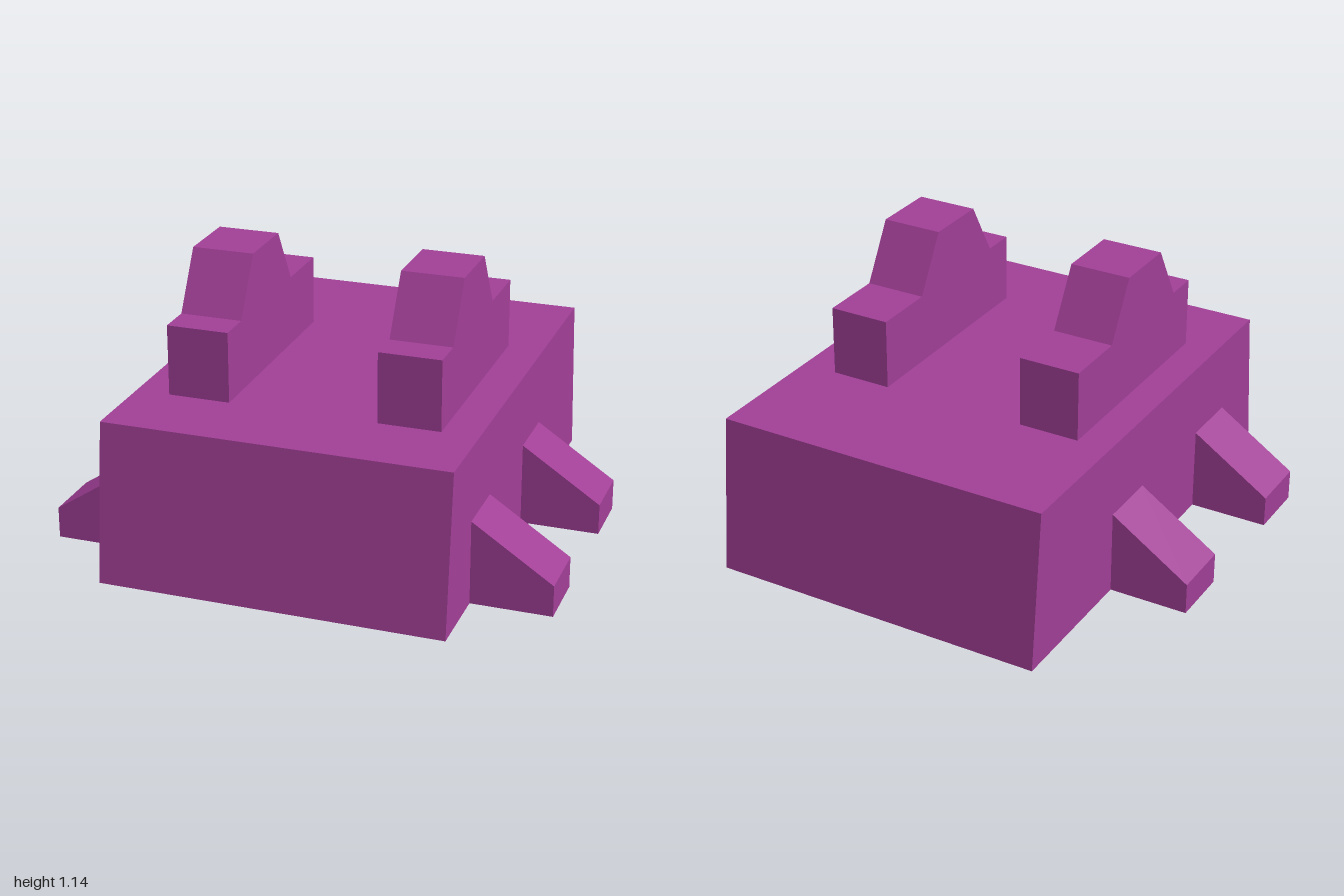
import * as THREE from 'three';

const purple = new THREE.MeshStandardMaterial({ color: 0xa03e95 });
purple.name = 'purple';

// Extrudes a flat profile, centred on its depth
function prism(name, points, depth) {
  const shape = new THREE.Shape(points.map(([a, b]) => new THREE.Vector2(a, b)));
  const geometry = new THREE.ExtrudeGeometry(shape, { depth, bevelEnabled: false });
  geometry.translate(0, 0, -depth / 2);
  const mesh = new THREE.Mesh(geometry, purple);
  mesh.name = name;
  return mesh;
}

// Same, with a (z, y) profile extruded along x
function sidePrism(name, points, width) {
  const mesh = prism(name, points, width);
  mesh.geometry.rotateY(-Math.PI / 2);
  return mesh;
}

export function createModel() {
  const model = new THREE.Group();
  model.name = 'model';

  // Body block with sloped front and back
  model.add(sidePrism('body', [
    [-0.945, 0], [0.945, 0], [0.878, 0.635], [-0.887, 0.635],
  ], 1.364));

  // Stepped ridges on top
  const ridgeProfile = [
    [-0.368, 0.635], [0.553, 0.635], [0.553, 0.916], [0.417, 0.916],
    [0.287, 1.142], [0.022, 1.142], [-0.108, 0.916], [-0.368, 0.916],
  ];
  for (const [name, x] of [['rightRidge', -0.423], ['leftRidge', 0.413]]) {
    const ridge = sidePrism(name, ridgeProfile, 0.246);
    ridge.position.x = x;
    model.add(ridge);
  }

  // Sloped feet, two on each side
  for (const [side, s] of [['Right', -1], ['Left', 1]]) {
    for (const [end, z] of [['front', 0.516], ['back', -0.207]]) {
      const foot = prism(end + side + 'Foot', [
        [0.68 * s, 0], [s, 0], [s, 0.125], [0.68 * s, 0.337],
      ], 0.248);
      foot.position.z = z;
      model.add(foot);
    }
  }
  return model;
}
